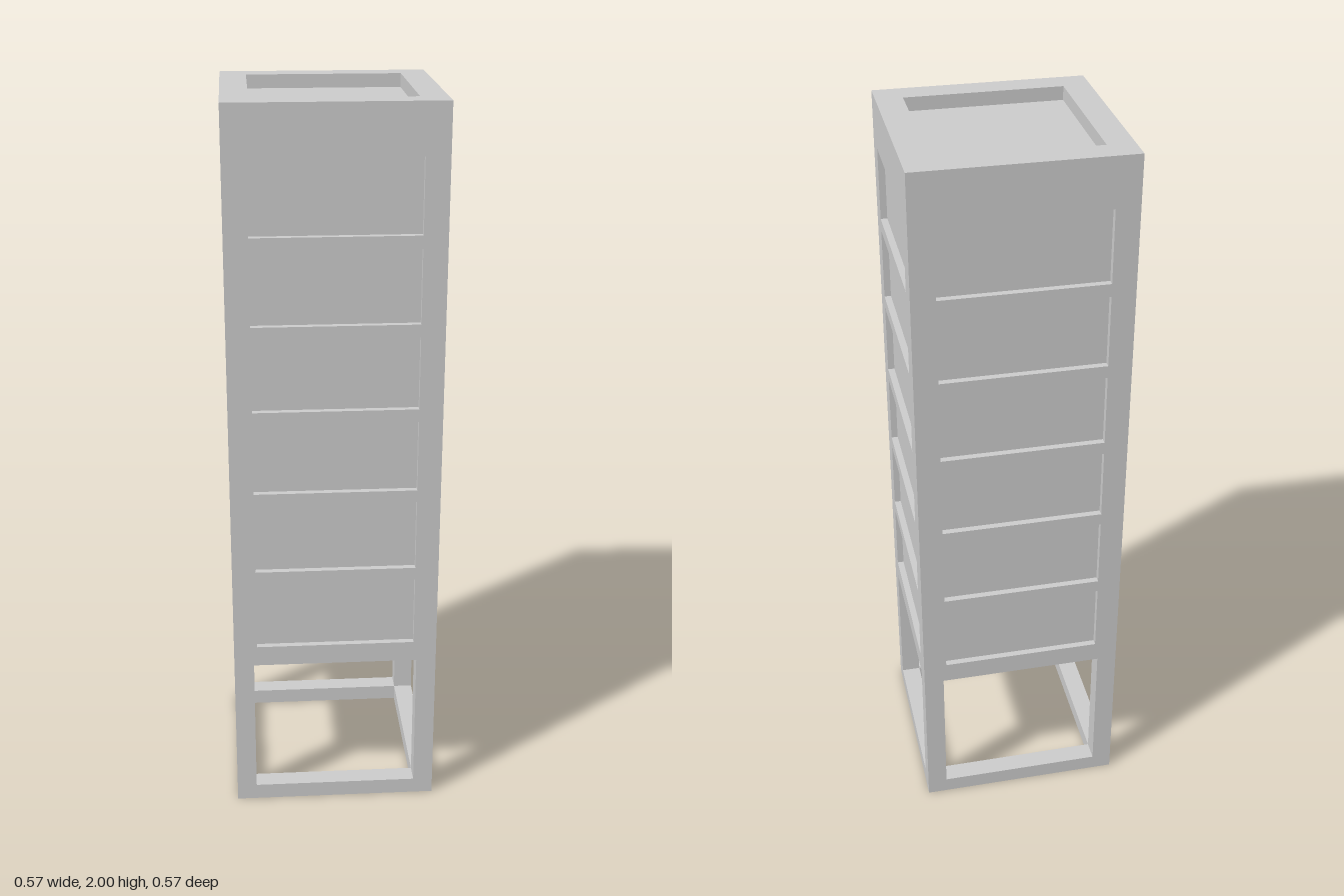
import * as THREE from 'three';

const HALF = 0.284;     // half width of the tower
const BASE = 0.045;     // height of the bottom frame
const FLOOR = 0.445;    // underside of the panelled body
const RIM = 1.963;      // floor of the roof recess
const TOP = 2;
const LEG = 0.055;      // leg thickness
const SKIN = 0.018;     // depth of the panel recesses

const material = new THREE.MeshStandardMaterial({ color: 0xcccccc });

function add(parent, name, geometry, x = 0, y = 0, z = 0) {
  const mesh = new THREE.Mesh(geometry, material);
  mesh.name = name;
  mesh.position.set(x, y, z);
  parent.add(mesh);
  return mesh;
}

function rectangle(target, halfWidth, y0, y1) {
  target.moveTo(-halfWidth, y0);
  target.lineTo(halfWidth, y0);
  target.lineTo(halfWidth, y1);
  target.lineTo(-halfWidth, y1);
  target.closePath();
  return target;
}

// Flat square ring lying on y = 0
function squareRing(inner, height) {
  const shape = rectangle(new THREE.Shape(), HALF, -HALF, HALF);
  shape.holes.push(rectangle(new THREE.Path(), inner, -inner, inner));
  return new THREE.ExtrudeGeometry(shape, { depth: height, bevelEnabled: false }).rotateX(-Math.PI / 2);
}

// Wall plate with six panel openings
function facade(halfWidth) {
  const shape = rectangle(new THREE.Shape(), halfWidth, FLOOR, RIM);
  for (let i = 0; i < 6; i++) {
    const y = 0.503 + i * 0.2328;
    shape.holes.push(rectangle(new THREE.Path(), 0.22, y, y + 0.198));
  }
  return new THREE.ExtrudeGeometry(shape, { depth: SKIN, bevelEnabled: false });
}

export function createModel() {
  const model = new THREE.Group();
  model.name = 'tower';

  // Open stand: bottom frame and four corner legs
  const stand = new THREE.Group();
  stand.name = 'stand';
  model.add(stand);
  add(stand, 'bottomFrame', squareRing(HALF - LEG, BASE));
  const legGeometry = new THREE.BoxGeometry(LEG, FLOOR - BASE, LEG);
  const offset = HALF - LEG / 2;
  for (const x of [-1, 1]) {
    for (const z of [-1, 1]) {
      add(stand, 'leg', legGeometry, x * offset, (BASE + FLOOR) / 2, z * offset);
    }
  }

  // Body core: its sides form the recessed panels, its top the roof floor
  const core = 2 * (HALF - SKIN);
  add(model, 'bodyCore', new THREE.BoxGeometry(core, RIM - FLOOR, core), 0, (FLOOR + RIM) / 2, 0);

  // Four walls; the side pair fits between the front and back pair
  ['frontWall', 'leftWall', 'backWall', 'rightWall'].forEach((name, i) => {
    const wall = new THREE.Group();
    wall.name = name;
    wall.rotation.y = i * Math.PI / 2;
    add(wall, name + 'Frame', facade(i % 2 ? HALF - SKIN : HALF), 0, 0, HALF - SKIN);
    model.add(wall);
  });

  // Raised rim around the roof
  add(model, 'roofRim', squareRing(0.212, TOP - RIM), 0, RIM, 0);

  return model;
}
